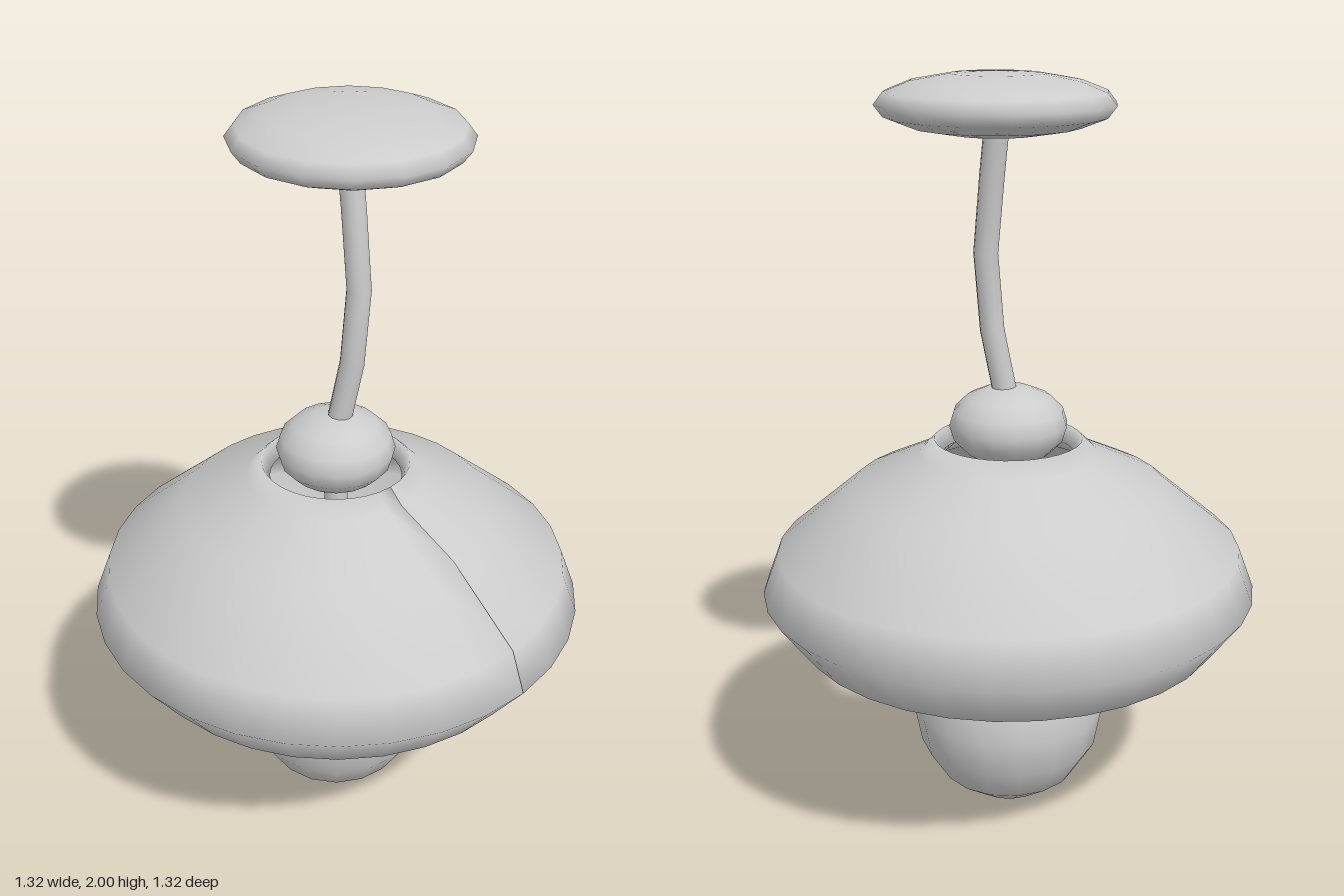
import * as THREE from 'three';

const grey = new THREE.MeshStandardMaterial({ color: 0xcccccc });
grey.name = 'plain grey';

function addMesh(group, name, geometry) {
  const mesh = new THREE.Mesh(geometry, grey);
  mesh.name = name;
  group.add(mesh);
  return mesh;
}

// Squashed low-poly ball with smooth normals
function addBall(group, name, [rx, ry, rz], [x, y, z]) {
  const geometry = new THREE.SphereGeometry(1, 16, 8);
  geometry.scale(rx, ry, rz).translate(x, y, z);
  return addMesh(group, name, geometry);
}

// Thick shell swept around y, with a hairline slit on the +x side.
// All vertices are shared, so the shading rolls softly over the rims and slit.
function slitShell(outer, inner, segments, halfGap) {
  const loop = [...outer, ...[...inner].reverse()];
  const n = loop.length;
  const positions = [];
  const index = [];
  for (let i = 0; i <= segments; i++) {
    const a = halfGap + (i / segments) * (Math.PI * 2 - 2 * halfGap);
    for (const [r, y] of loop) positions.push(r * Math.cos(a), y, r * Math.sin(a));
  }
  for (let i = 0; i < segments; i++) {
    for (let j = 0; j < n; j++) {
      const k = (j + 1) % n;
      const a = i * n + j, b = (i + 1) * n + j;
      const c = (i + 1) * n + k, d = i * n + k;
      index.push(a, b, d, b, c, d);
    }
  }
  // Walls on both sides of the slit
  const end = segments * n;
  for (let j = 0; j < outer.length - 1; j++) {
    const o = j, o2 = j + 1, p = n - 1 - j, p2 = n - 2 - j;
    index.push(o, o2, p, o2, p2, p);
    index.push(end + o, end + p, end + o2, end + o2, end + p, end + p2);
  }
  const geometry = new THREE.BufferGeometry();
  geometry.setAttribute('position', new THREE.Float32BufferAttribute(positions, 3));
  geometry.setIndex(index);
  geometry.computeVertexNormals();
  return geometry;
}

export function createModel() {
  const lamp = new THREE.Group();
  lamp.name = 'hanging lamp';

  // Bulb, socket and the knob on top of the shade
  addBall(lamp, 'bulb', [0.265, 0.28, 0.265], [0, 0.28, 0]);
  addBall(lamp, 'socket', [0.208, 0.17, 0.208], [0, 0.58, 0]);
  addBall(lamp, 'knob', [0.157, 0.105, 0.157], [0, 1.093, 0]);

  // Rod joining socket and knob inside the shade
  addMesh(lamp, 'innerRod', new THREE.CylinderGeometry(0.032, 0.032, 0.35, 12).translate(0, 0.86, 0));

  // Shade
  const outer = [[0.196, 1.055], [0.237, 1.015], [0.415, 0.93], [0.62, 0.757], [0.662, 0.645], [0.57, 0.52]];
  const inner = [[0.175, 1.01], [0.225, 0.968], [0.388, 0.89], [0.578, 0.735], [0.612, 0.652], [0.53, 0.526]];
  addMesh(lamp, 'shade', slitShell(outer, inner, 32, 0.003));

  // Bent stem
  const path = new THREE.CatmullRomCurve3([
    new THREE.Vector3(0.003, 1.15, -0.002),
    new THREE.Vector3(0.037, 1.35, -0.022),
    new THREE.Vector3(0.047, 1.545, -0.034),
    new THREE.Vector3(0.019, 1.745, -0.043),
    new THREE.Vector3(-0.01, 1.945, -0.048),
  ]);
  addMesh(lamp, 'stem', new THREE.TubeGeometry(path, 4, 0.032, 12));

  // Ceiling plate
  addBall(lamp, 'ceilingPlate', [0.302, 0.078, 0.298], [0, 1.922, -0.05]);

  return lamp;
}
